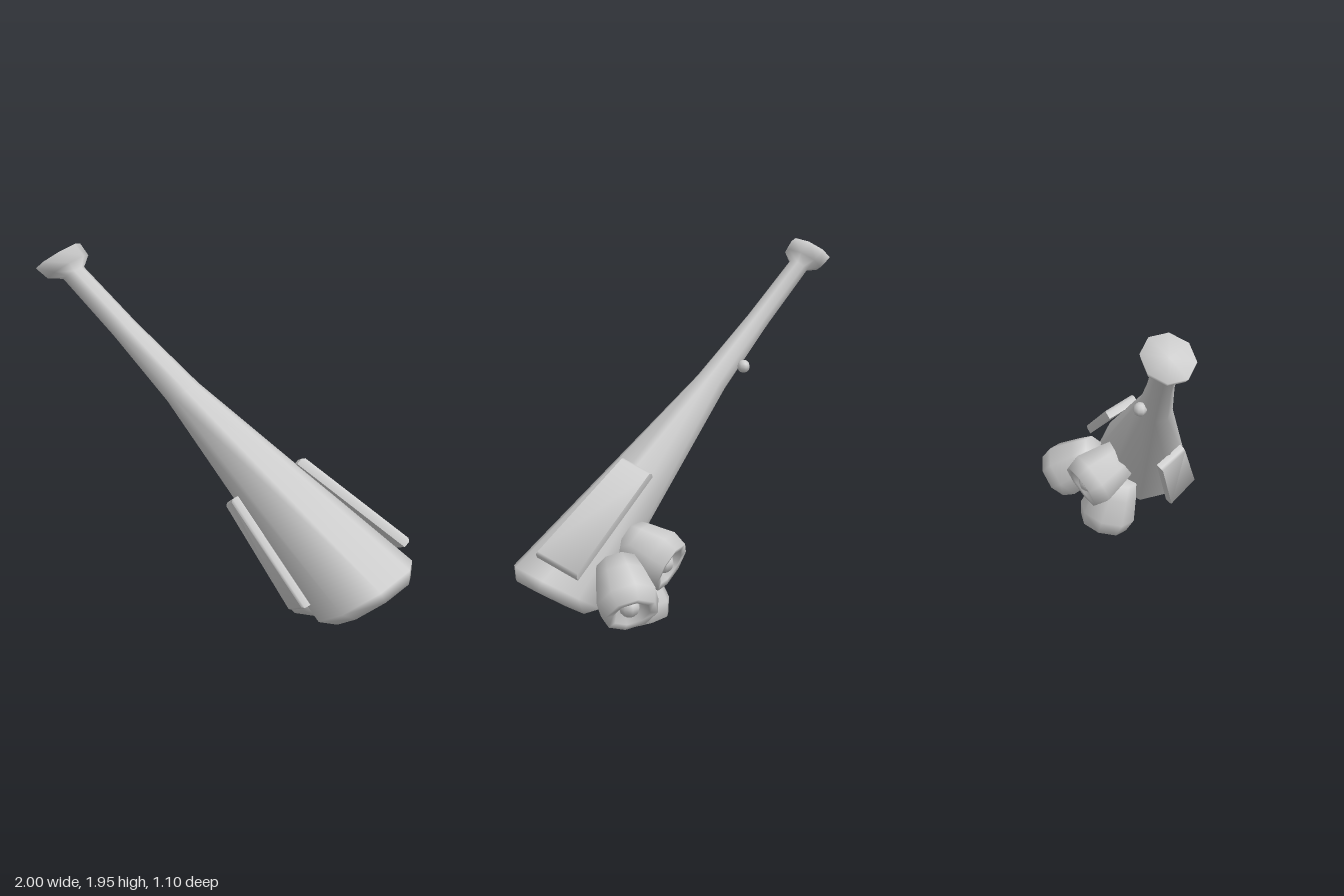
import * as THREE from 'three';
import { toCreasedNormals } from 'three/addons/utils/BufferGeometryUtils.js';
import { ConvexGeometry } from 'three/addons/geometries/ConvexGeometry.js';

const V = (x, y, z) => new THREE.Vector3(x, y, z);
const grey = new THREE.MeshStandardMaterial({ color: 0xcccccc });

function part(name, geometry, parent) {
  const mesh = new THREE.Mesh(geometry, grey);
  mesh.name = name;
  parent.add(mesh);
  return mesh;
}

// Smooth eight-sided turned shape, placed by an origin and three (possibly skewed) axes
function turned(profile, origin, x, y, z) {
  const geo = new THREE.LatheGeometry(profile.map(([r, h]) => new THREE.Vector2(r, h)), 8);
  return geo.applyMatrix4(new THREE.Matrix4().makeBasis(x, y, z).setPosition(origin));
}

function ball(name, centre, radius, parent) {
  part(name, new THREE.SphereGeometry(radius, 8, 6), parent).position.copy(centre);
}

// Bevelled slab from its four outer corners and an inward thickness vector
function slab(corners, inward) {
  const mid = corners.reduce((sum, c) => sum.add(c), V(0, 0, 0)).divideScalar(4);
  const points = [];
  for (const c of corners) {
    points.push(c.clone().lerp(mid, 0.04));
    points.push(c.clone().addScaledVector(inward, 0.3));
    points.push(c.clone().add(inward));
  }
  return toCreasedNormals(new ConvexGeometry(points), 1.2);
}

export function createModel() {
  const group = new THREE.Group();

  // Long tapering hull with a flared tip and a recessed tail; rings are skewed to the axis
  const tip = V(-0.895, 1.89, 0.415);
  const axis = V(1.665, -1.635, -0.425);
  const hull = [
    [0, -0.002], [0.128, 0], [0.118, 0.033], [0.06, 0.052], [0.066, 0.22], [0.09, 0.41],
    [0.28, 1], [0.22, 1.027], [0.16, 1.02], [0.115, 0.985], [0, 0.97],
  ];
  part('hull', turned(hull, tip, V(0.82, 0.55, -0.14), axis, V(-0.1, 0.1, -0.99)), group);
  ball('tailCore', tip.clone().addScaledVector(axis, 0.99), 0.085, group);
  ball('hullKnob', V(-0.385, 1.3, 0.195), 0.036, group);

  // Cluster of three thruster pods under the rear
  const pod = [
    [0, -0.23], [0.11, -0.23], [0.135, -0.14], [0.165, 0], [0.14, 0.08],
    [0.1, 0.075], [0.07, 0.01], [0, 0],
  ];
  const pods = [
    [V(0.52, 0.28, -0.41), V(0.03, -0.6, -0.8)],
    [V(0.35, 0.13, -0.13), V(-0.15, -0.93, -0.25)],
    [V(0.27, 0.4, -0.2), V(-0.62, -0.4, -0.68)],
  ];
  pods.forEach(([centre, dir], i) => {
    const thruster = new THREE.Group();
    thruster.name = 'thruster' + (i + 1);
    const y = dir.normalize();
    const x = V(0, 0, 1).cross(y).normalize();
    const z = x.clone().cross(y);
    part('thrusterPod', turned(pod, centre, x, y, z), thruster);
    ball('thrusterCore', centre.clone().addScaledVector(y, 0.03), 0.055, thruster);
    group.add(thruster);
  });

  // Flat panels standing off the hull
  part('frontFin', slab(
    [V(0.055, 0.655, 0.24), V(0.17, 0.73, 0.348), V(0.615, 0.24, 0.345), V(0.46, 0.15, 0.23)],
    V(0.022, 0.018, -0.035)), group);
  part('upperFin', slab(
    [V(0.39, 0.917, 0.01), V(0.28, 0.855, -0.125), V(0.77, 0.43, -0.35), V(0.93, 0.52, -0.18)],
    V(-0.018, -0.036, 0.03)), group);

  return group;
}
